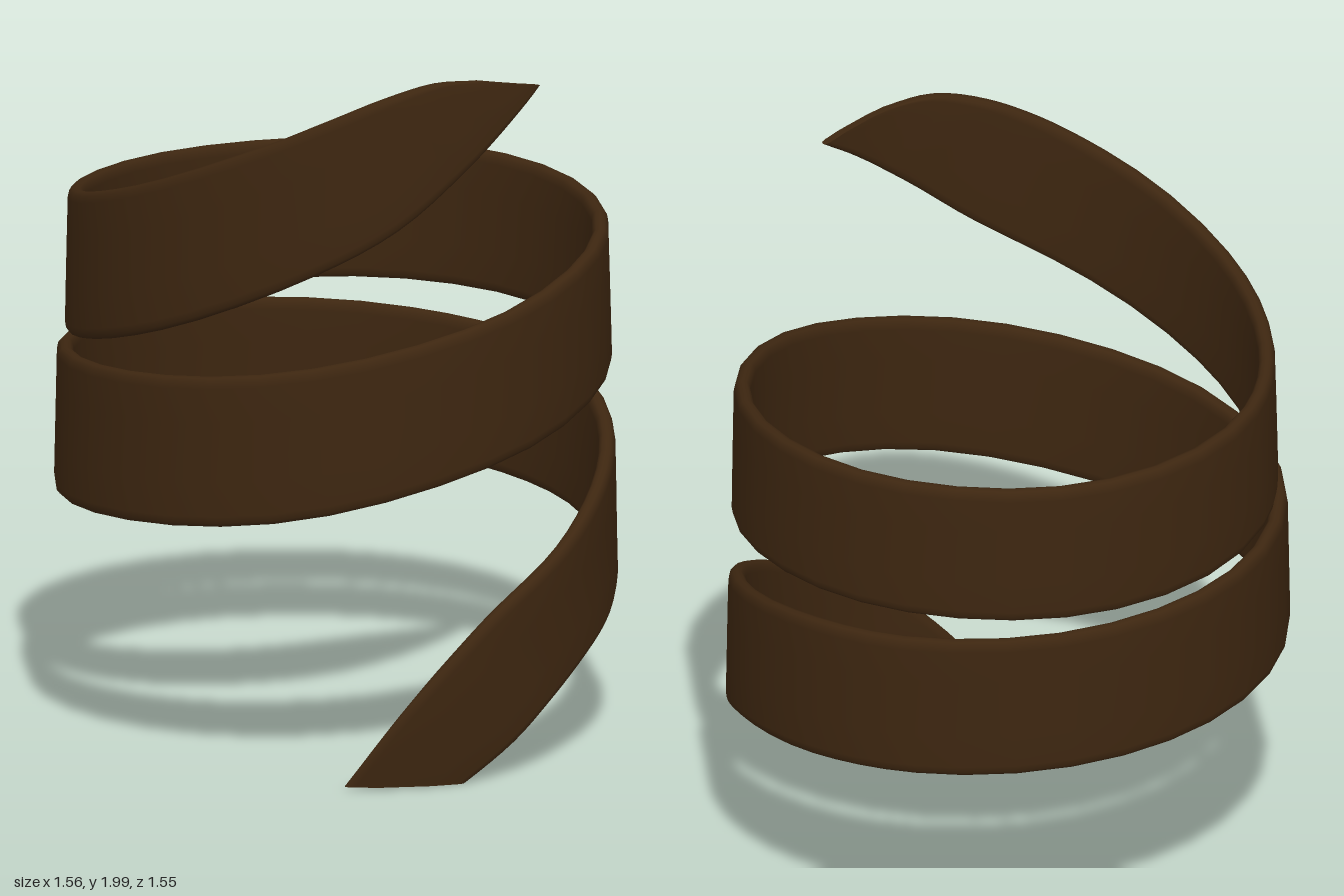
import * as THREE from 'three';

// Stations along the ribbon: top edge (angle, height), bottom edge (angle, height), outer radius.
// Angles in degrees, from the front towards +x.
const STATIONS = [
  [18, 0.02, 45, 0.01, 0.750], [30, 0.22, 57, 0.11, 0.765], [41, 0.37, 68, 0.21, 0.770],
  [53, 0.50, 80, 0.30, 0.775], [72, 0.63, 94, 0.37, 0.775], [90, 0.75, 110, 0.45, 0.775],
  [113, 0.87, 130, 0.53, 0.775], [150, 0.98, 158, 0.58, 0.775], [180, 1.02, 183, 0.61, 0.775],
  [225, 1.06, 227, 0.65, 0.775], [270, 1.09, 271, 0.68, 0.775], [315, 1.13, 316, 0.71, 0.775],
  [360, 1.19, 363, 0.77, 0.775], [405, 1.30, 410, 0.90, 0.765], [450, 1.42, 455, 1.02, 0.758],
  [495, 1.48, 497, 1.08, 0.763], [540, 1.50, 541, 1.10, 0.766], [585, 1.50, 586, 1.10, 0.758],
  [630, 1.52, 633, 1.12, 0.747], [655, 1.56, 661, 1.16, 0.740], [685, 1.66, 694, 1.27, 0.733],
  [720, 1.83, 732, 1.47, 0.728], [735, 1.91, 750, 1.59, 0.727], [747, 1.965, 766, 1.74, 0.725],
  [759, 1.998, 779, 1.86, 0.723], [770, 1.99, 789, 1.94, 0.720],
];
const STEPS = 4;
const HALF_THICKNESS = 0.023;

// Rounded cross-section: across (1 = top edge, -1 = bottom edge), out (1 = outer face)
const SIDE = [[1, 0], [0.985, 0.5], [0.94, 0.85], [0.85, 1], [0.4, 1], [-0.4, 1], [-0.85, 1], [-0.94, 0.85], [-0.985, 0.5]];
const SECTION = [...SIDE, ...SIDE.map(([w, h]) => [-w, -h])];

function ribbonGeometry() {
  const spline = (a, b) => new THREE.CatmullRomCurve3(
    STATIONS.map((s) => new THREE.Vector3(s[a] / 100, s[b], s[4])), false, 'centripetal');
  const top = spline(0, 1), bottom = spline(2, 3);
  const rings = (STATIONS.length - 1) * STEPS, n = SECTION.length;
  const positions = [], index = [];

  const addPoint = (t, across, out) => {
    const p = bottom.getPoint(t).lerp(top.getPoint(t), (across + 1) / 2);
    const angle = THREE.MathUtils.degToRad(p.x * 100);
    // thinner towards both ends, leaning slightly inward at the top edge
    const thin = 0.5 + 0.5 * Math.min(1, t * 14, (1 - t) * 14);
    const r = p.z - HALF_THICKNESS - 0.004 * across + out * HALF_THICKNESS * thin;
    positions.push(r * Math.sin(angle), p.y, r * Math.cos(angle));
  };

  for (let i = 0; i <= rings; i++) {
    for (const [w, h] of SECTION) addPoint(i / rings, w, h);
  }
  for (let i = 0; i < rings; i++) {
    for (let j = 0; j < n; j++) {
      const k = (j + 1) % n;
      const a = i * n + j, b = i * n + k, c = a + n, d = b + n;
      index.push(a, b, c, b, d, c);
    }
  }
  // End caps
  for (const t of [0, 1]) {
    const base = positions.length / 3;
    addPoint(t, 0, 0);
    for (const [w, h] of SECTION) addPoint(t, w, h);
    for (let j = 0; j < n; j++) {
      const a = base + 1 + j, b = base + 1 + ((j + 1) % n);
      if (t) index.push(base, a, b);
      else index.push(base, b, a);
    }
  }

  const geometry = new THREE.BufferGeometry();
  geometry.setAttribute('position', new THREE.Float32BufferAttribute(positions, 3));
  geometry.setIndex(index);
  geometry.computeVertexNormals();
  return geometry;
}

export function createModel() {
  const brown = new THREE.MeshStandardMaterial({ color: 0x3d2610 });
  brown.name = 'dark brown';

  const ribbon = new THREE.Mesh(ribbonGeometry(), brown);
  ribbon.name = 'spiralBand';

  const group = new THREE.Group();
  group.name = 'coiledBand';
  group.add(ribbon);
  return group;
}
